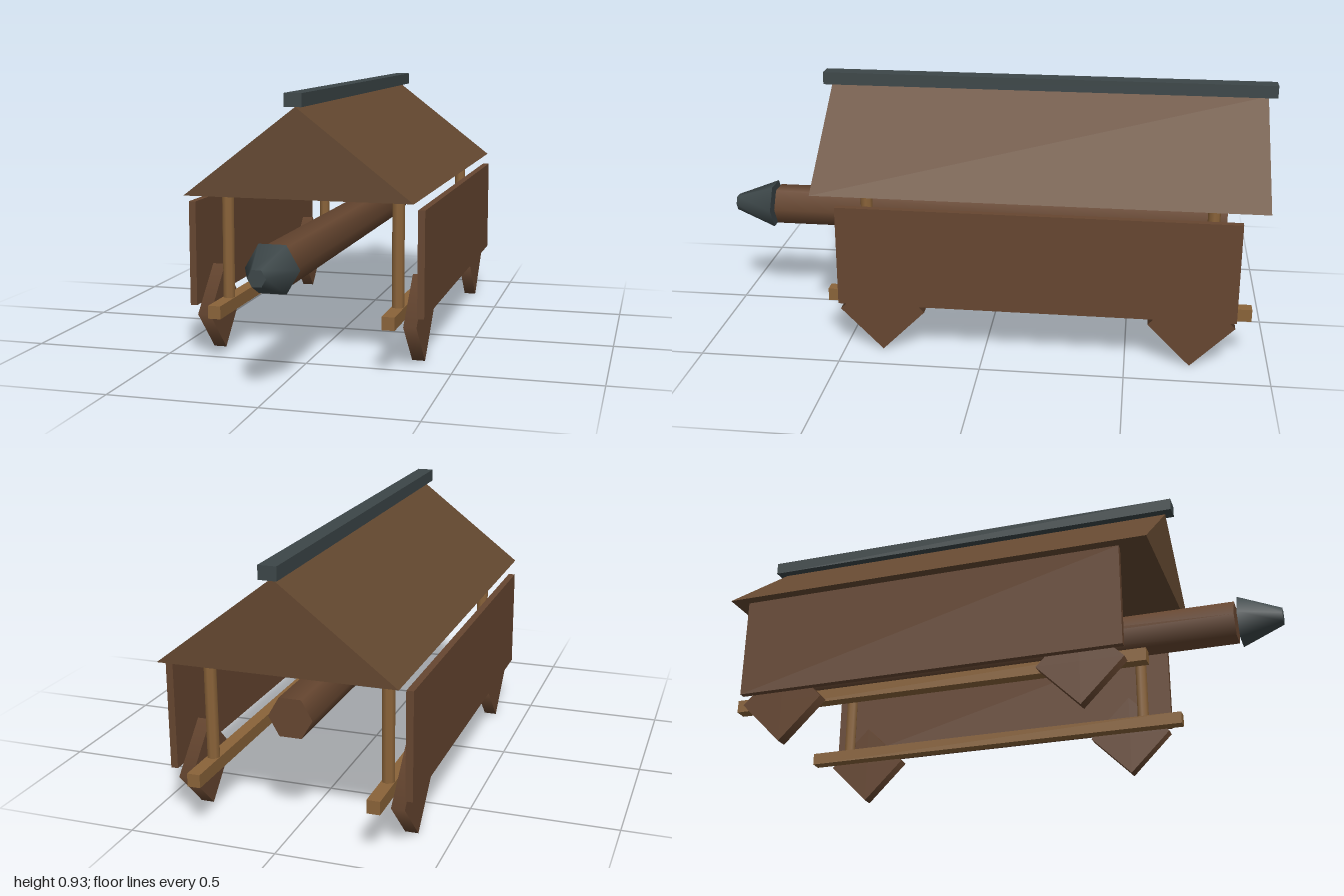
import * as THREE from 'three';

const material = (name, color, side = THREE.FrontSide) => {
  const m = new THREE.MeshStandardMaterial({ color, side });
  m.name = name;
  return m;
};

export function createModel() {
  const group = new THREE.Group();
  const plank = material('darkPlank', 0x664630);
  const roofWood = material('roofWood', 0x644830);
  const timber = material('paleTimber', 0x8a6339);
  const iron = material('darkIron', 0x3c4648);

  const add = (name, geometry, mat, x, y, z) => {
    const mesh = new THREE.Mesh(geometry, mat);
    mesh.name = name;
    mesh.position.set(x, y, z);
    group.add(mesh);
    return mesh;
  };

  // Solid gabled roof
  const gable = new THREE.Shape([
    new THREE.Vector2(-0.392, 0.578),
    new THREE.Vector2(0.392, 0.578),
    new THREE.Vector2(0, 0.88),
  ]);
  add('roof', new THREE.ExtrudeGeometry(gable, { depth: 1.578, bevelEnabled: false }), roofWood, 0, 0, -0.97);

  // Iron ridge beam
  add('ridgeBeam', new THREE.BoxGeometry(0.06, 0.045, 1.635), iron, 0, 0.9035, -0.1825);

  // Ram log and tapered head, both hexagonal and lying along z
  const log = new THREE.CylinderGeometry(0.075, 0.075, 1.69, 6).rotateY(Math.PI / 6).rotateX(Math.PI / 2);
  log.rotateZ(Math.PI / 6);
  const head = new THREE.CylinderGeometry(0.03, 0.09, 0.15, 6).rotateY(Math.PI / 6).rotateX(Math.PI / 2);
  head.rotateZ(Math.PI / 3 - Math.PI / 6 + Math.PI / 6 - Math.PI / 6);
  // Both end with a corner pointing sideways and a flat on top
  for (const g of [log, head]) {
    const p = g.attributes.position;
    let top = 0;
    for (let i = 0; i < p.count; i++) top = Math.max(top, p.getY(i));
    const radius = g === log ? 0.075 : 0.09;
    if (top > radius * 0.95) g.rotateZ(Math.PI / 6);
  }
  add('ramLog', log, plank, 0, 0.396, -0.007);
  add('ramHead', head, iron, 0, 0.396, 0.925);

  // Mirrored frame, side walls and four-cornered wheels
  const post = new THREE.CylinderGeometry(0.0215, 0.0215, 0.38, 8);
  const wheel = new THREE.CylinderGeometry(0.151, 0.151, 0.045, 4).rotateZ(Math.PI / 2);
  for (const [side, s] of [['left', 1], ['right', -1]]) {
    add(side + 'Rail', new THREE.BoxGeometry(0.044, 0.045, 1.51), timber, s * 0.3025, 0.1755, -0.182);
    add(side + 'Wall', new THREE.BoxGeometry(0.024, 0.362, 1.395), plank, s * 0.399, 0.364, -0.182);
    for (const [end, postZ, wheelZ] of [['Front', 0.425, 0.363], ['Back', -0.787, -0.727]]) {
      add(side + end + 'Post', post, timber, s * 0.3025, 0.388, postZ);
      add(side + end + 'Wheel', wheel, plank, s * 0.3625, 0.151, wheelZ);
    }
  }
  return group;
}
